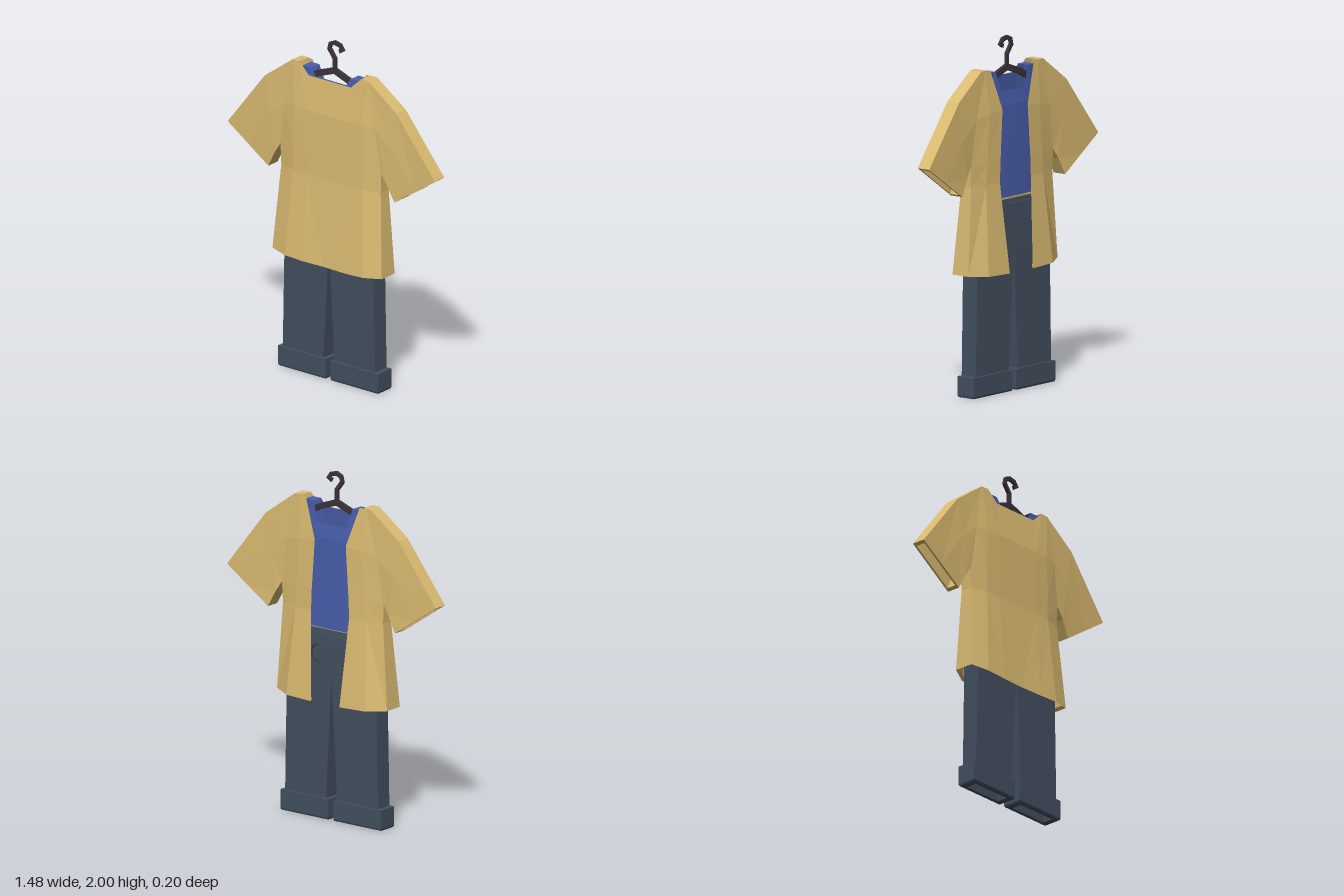
import * as THREE from 'three';

const mat = color => new THREE.MeshStandardMaterial({ color, flatShading: true, side: THREE.DoubleSide });
const TAN = mat(0xdcbc72), BLUE = mat(0x4a5fae), DENIM = mat(0x435060), DARK = mat(0x3c333a);

// Skin a list of cross-sections (each a list of [x, y, z]) with quads.
function loft(name, material, rows, closed = false) {
  const pos = [], n = rows[0].length;
  for (let r = 0; r + 1 < rows.length; r++) {
    for (let c = 0; c < (closed ? n : n - 1); c++) {
      const k = (c + 1) % n;
      const a = rows[r][c], b = rows[r][k], d = rows[r + 1][k], e = rows[r + 1][c];
      pos.push(...a, ...b, ...d, ...a, ...d, ...e);
    }
  }
  const geo = new THREE.BufferGeometry();
  geo.setAttribute('position', new THREE.Float32BufferAttribute(pos, 3));
  geo.computeVertexNormals();
  const mesh = new THREE.Mesh(geo, material);
  mesh.name = name;
  return mesh;
}

// A part together with its mirror image across x = 0.
function pair(name, ...parts) {
  const group = new THREE.Group();
  group.name = name;
  for (const part of parts) {
    const other = part.clone();
    other.scale.x = -1;
    group.add(part, other);
  }
  return group;
}

// Rectangular horizontal ring, counter-clockwise from above.
const ring = (x0, x1, y, z0, z1) => [[x0, y, z1], [x1, y, z1], [x1, y, z0], [x0, y, z0]];

// Flat bar with mitred corners along a path of [x, y].
function bar(name, path, width, depth) {
  const rows = path.map(([x, y], i) => {
    const p = path[Math.max(i - 1, 0)], q = path[Math.min(i + 1, path.length - 1)];
    const len = Math.hypot(q[0] - p[0], q[1] - p[1]);
    const nx = -(q[1] - p[1]) / len * width / 2, ny = (q[0] - p[0]) / len * width / 2;
    return [[x + nx, y + ny, depth], [x - nx, y - ny, depth], [x - nx, y - ny, -depth], [x + nx, y + ny, -depth]];
  });
  const last = rows[rows.length - 1], mid = r => r.map(() => [0, 1, 2].map(k => (r[0][k] + r[2][k]) / 2));
  return loft(name, DARK, [mid(rows[0]), ...rows, mid(last)], true);
}

function coat() {
  // Half of the body, from the centre front round the side to the open back edge
  const body = [
    [[0, .7, .08], [.15, .7, .085], [.27, .7, .085], [.375, .71, .06], [.375, .71, -.04], [.27, .7, -.085], [.11, .7, -.09]],
    [[0, .68, .095], [.15, .68, .1], [.28, .685, .1], [.39, .695, .07], [.39, .695, -.045], [.28, .685, -.1], [.1, .68, -.105]],
    [[0, 1.19, .065], [.15, 1.19, .065], [.25, 1.19, .062], [.355, 1.19, .035], [.355, 1.19, -.035], [.25, 1.19, -.057], [.135, 1.19, -.062]],
    [[0, 1.31, .066], [.15, 1.31, .066], [.25, 1.31, .062], [.36, 1.31, .036], [.36, 1.31, -.038], [.24, 1.31, -.058], [.13, 1.31, -.062]],
    [[0, 1.57, .065], [.15, 1.57, .065], [.24, 1.57, .062], [.32, 1.57, .048], [.32, 1.57, -.045], [.22, 1.59, -.058], [.11, 1.6, -.06]],
    [[0, 1.77, .045], [.15, 1.77, .045], [.22, 1.835, .042], [.27, 1.835, .04], [.27, 1.835, -.038], [.23, 1.835, -.038], [.19, 1.83, -.038]],
  ];
  const shoulder = [[[.22, 1.835, .042], [.27, 1.835, .04]], [[.22, 1.835, -.038], [.27, 1.835, -.038]]];

  // Sleeve sections: top, middle and bottom points, front and back depth
  const section = (top, mid, bot, zf, zb, bulge = 0) => [
    [...top, zf], [...mid, zf + bulge], [...bot, zf], [...bot, zb], [...mid, zb - bulge], [...top, zb]];
  const sleeve = [
    section([.27, 1.835], [.32, 1.57], [.36, 1.31], .039, -.039, .008),
    section([.47, 1.69], [.435, 1.47], [.4, 1.25], .039, -.044, .004),
    section([.74, 1.35], [.595, 1.2525], [.45, 1.155], .032, -.05),
    section([.722, 1.338], [.595, 1.2525], [.468, 1.167], .02, -.038),
    section([.62, 1.46], [.53, 1.34], [.445, 1.22], .022, -.036),
  ];
  return pair('coat', loft('coatBody', TAN, body), loft('coatShoulder', TAN, shoulder),
    loft('coatSleeve', TAN, sleeve, true));
}

function shirt() {
  // Half of the shirt, from the centre front round to the centre back
  const rows = [
    [[0, 1.1, .05], [.11, 1.1, .05], [.22, 1.1, .045], [.3, 1.1, .02], [.3, 1.1, -.02], [.22, 1.1, -.045], [.11, 1.1, -.052], [0, 1.1, -.055]],
    [[0, 1.6, .05], [.1, 1.6, .05], [.21, 1.6, .045], [.27, 1.6, .02], [.27, 1.6, -.02], [.21, 1.6, -.045], [.1, 1.62, -.052], [0, 1.62, -.055]],
    [[0, 1.772, .036], [.11, 1.772, .036], [.14, 1.815, .035], [.2, 1.815, .035], [.2, 1.815, -.035], [.14, 1.815, -.035], [.1, 1.7, -.045], [0, 1.7, -.046]],
  ];
  const strap = [[[.14, 1.815, .035], [.2, 1.815, .035]], [[.14, 1.815, -.035], [.2, 1.815, -.035]]];
  return pair('shirt', loft('shirtBody', BLUE, rows), loft('shirtStrap', BLUE, strap));
}

function trousers() {
  const group = new THREE.Group();
  group.name = 'trousers';
  const hips = loft('hips', DENIM, [
    ring(-.315, .315, .82, -.05, .054), ring(-.29, .29, 1.0, -.046, .046)], true);
  const waistband = loft('waistband', DENIM, [
    ring(-.29, .29, 1.0, -.046, .046), ring(-.295, .295, 1.0, -.051, .051),
    ring(-.29, .29, 1.06, -.049, .049), ring(-.28, .28, 1.06, -.04, .04), ring(-.28, .28, 1.0, -.036, .036)], true);
  const leg = loft('leg', DENIM, [ring(.04, .33, .1, -.048, .053), ring(0, .315, .82, -.05, .054)], true);
  // Turned-up cuff: inner wall, bottom rim, outer wall, top rim
  const cuff = loft('cuff', DENIM, [
    ring(.07, .305, .11, -.027, .032), ring(.06, .315, 0, -.03, .035), ring(.022, .353, 0, -.052, .057),
    ring(.018, .357, .01, -.056, .061), ring(.018, .357, .118, -.056, .061), ring(.04, .33, .12, -.048, .053)], true);
  // Curved pocket seam on the open side of the coat
  const seam = new THREE.Mesh(new THREE.TorusGeometry(.05, .004, 4, 8, Math.PI / 2), DARK);
  seam.name = 'pocketSeam';
  seam.rotation.z = -Math.PI / 2;
  seam.position.set(.09, .95, -.049);
  group.add(hips, waistband, pair('legs', leg, cuff), pair('pocketSeams', seam));
  return group;
}

function hanger() {
  const group = new THREE.Group();
  group.name = 'hanger';
  const hook = [[0, 1.81], [0, 1.895], [-.038, 1.945], [-.03, 1.975], [0, 1.988], [.038, 1.98], [.058, 1.955], [.035, 1.945]];
  group.add(bar('hook', hook, .024, .008));
  group.add(pair('arms', bar('arm', [[0, 1.822], [.12, 1.778], [.25, 1.71]], .034, .01)));
  return group;
}

export function createModel() {
  const model = new THREE.Group();
  model.name = 'hangingOutfit';
  model.add(coat(), shirt(), trousers(), hanger());
  return model;
}
